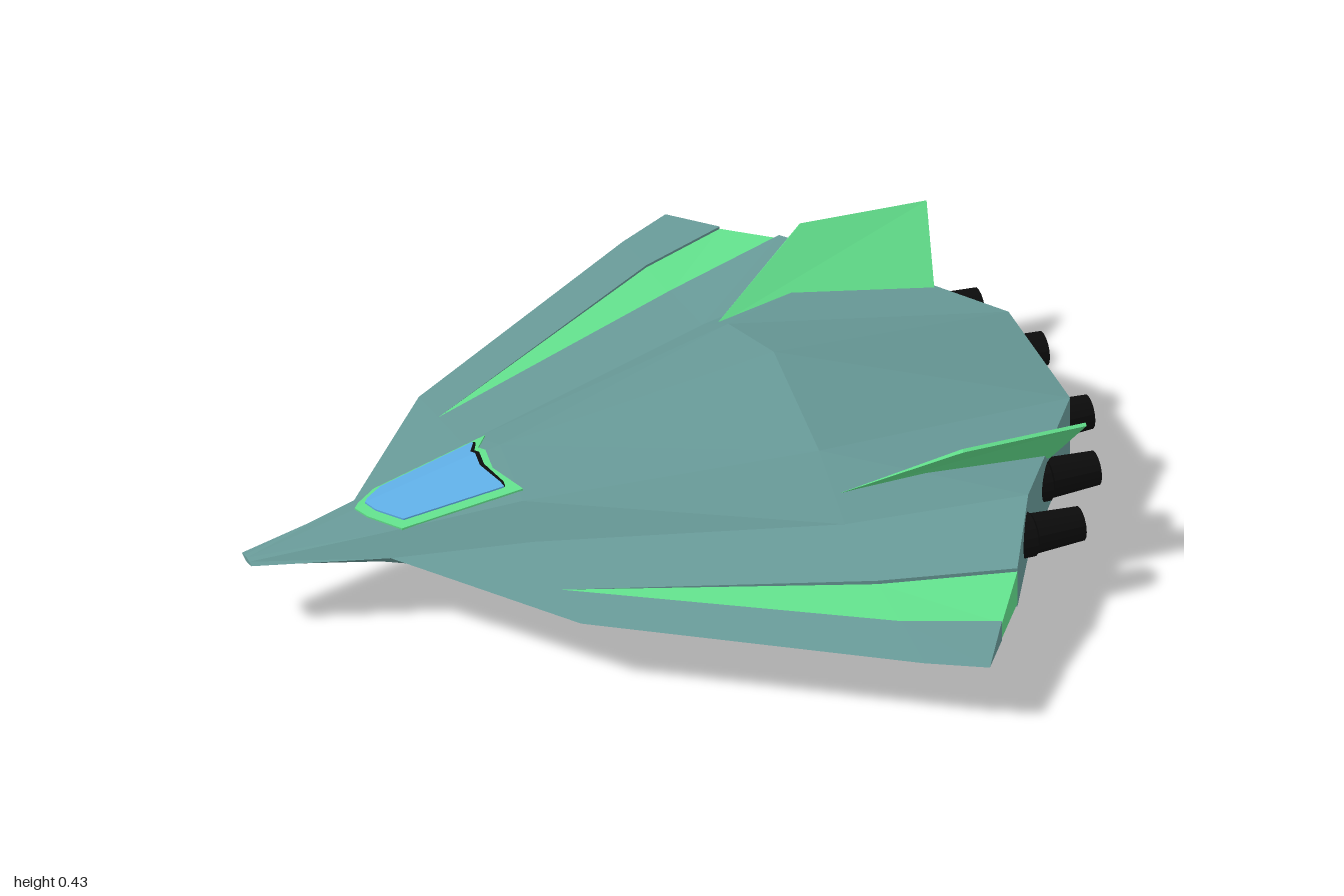
import * as THREE from 'three';

const hullTeal = new THREE.MeshStandardMaterial({ color: 0x689a98 });
const trimGreen = new THREE.MeshStandardMaterial({ color: 0x62e08c });
const glassBlue = new THREE.MeshStandardMaterial({ color: 0x60b0e8 });
const engineBlack = new THREE.MeshStandardMaterial({ color: 0x0c0c0c });

// Faceted mesh from triangles of the +z half, mirrored across z = 0
function mirroredMesh(name, tris, material) {
  const pos = [];
  for (const [a, b, c] of tris) {
    pos.push(...a, ...b, ...c);
    for (const p of [a, c, b]) pos.push(p[0], p[1], -p[2]);
  }
  const geo = new THREE.BufferGeometry();
  geo.setAttribute('position', new THREE.Float32BufferAttribute(pos, 3));
  geo.computeVertexNormals();
  const mesh = new THREE.Mesh(geo, material);
  mesh.name = name;
  return mesh;
}

const same = (a, b) => a.every((v, i) => Math.abs(v - b[i]) < 1e-6);

// Adds quad a-b-c-d as triangles, dropping collapsed ones
function quad(list, a, b, c, d) {
  for (const t of [[a, b, c], [a, c, d]]) {
    if (!same(t[0], t[1]) && !same(t[1], t[2]) && !same(t[0], t[2])) list.push(t);
  }
}

// Copies a line with a small height change, for the sunken wing strips
const shifted = (line, dy) => line.map(([x, y, z], i) => [x, i > 2 ? y + dy : y, z]);

// Lines from nose to tail, ordered from the centre outwards
const noseSide = [-0.99, 0.175, 0.03], wingRoot = [-0.69, 0.18, 0.12];
const leadingEdge = [noseSide, wingRoot, [-0.38, 0.162, 0.5], [0.28, 0.16, 0.93], [0.41, 0.16, 1.0]];

function topLines() {
  const inner = [noseSide, wingRoot, [-0.38, 0.18, 0.38], [0.28, 0.205, 0.64], [0.58, 0.225, 0.735]];
  const outer = [noseSide, wingRoot, [-0.38, 0.18, 0.38], [0.28, 0.185, 0.785], [0.49, 0.187, 0.87]];
  return [
    [[-0.99, 0.18, 0], [-0.69, 0.2575, 0], [-0.38, 0.337, 0], [0.28, 0.43, 0], [0.92, 0.27, 0]],
    [[-0.99, 0.178, 0.015], [-0.69, 0.222, 0.077], [-0.38, 0.272, 0.14], [0.28, 0.335, 0.28], [0.92, 0.27, 0.19]],
    [noseSide, wingRoot, [-0.38, 0.205, 0.21], [0.28, 0.235, 0.44], [0.69, 0.265, 0.52]],
    inner, shifted(inner, -0.009), shifted(outer, -0.006), outer, leadingEdge,
  ];
}

function bottomLines() {
  const inner = [noseSide, wingRoot, [-0.38, 0.15, 0.38], [0.28, 0.122, 0.64], [0.58, 0.122, 0.735]];
  const outer = [noseSide, wingRoot, [-0.38, 0.15, 0.38], [0.28, 0.138, 0.785], [0.49, 0.135, 0.87]];
  return [
    [[-0.99, 0.168, 0], [-0.69, 0.11, 0], [-0.38, 0.052, 0], [0.28, 0.003, 0], [0.92, 0.115, 0]],
    [[-0.99, 0.17, 0.015], [-0.69, 0.135, 0.06], [-0.38, 0.088, 0.11], [0.28, 0.046, 0.21], [0.92, 0.115, 0.19]],
    [noseSide, wingRoot, [-0.38, 0.12, 0.21], [0.28, 0.088, 0.42], [0.69, 0.1, 0.52]],
    inner, shifted(inner, 0.009), shifted(outer, 0.006), outer, leadingEdge,
  ];
}

function buildHull(group) {
  const top = topLines(), bottom = bottomLines();
  const hull = [], strips = [];
  for (let i = 0; i < 7; i++) {
    const list = i === 4 ? strips : hull;
    const [t, u, b, c] = [top[i], top[i + 1], bottom[i], bottom[i + 1]];
    for (let s = 0; s < 4; s++) {
      quad(list, t[s], u[s], u[s + 1], t[s + 1]);
      quad(list, b[s], b[s + 1], c[s + 1], c[s]);
    }
    quad(list, b[4], t[4], u[4], c[4]); // tail wall
    quad(list, b[0], c[0], u[0], t[0]); // nose wall
  }
  group.add(mirroredMesh('hull', hull, hullTeal), mirroredMesh('wingStrips', strips, trimGreen));
}

// Thin plate lying just above the sloping canopy facets
function canopyPlate(name, outline, lift, material) {
  const pts = outline.map(([x, z]) => new THREE.Vector2(x, z));
  const at = (p, up) => [p.x, 0.18 + 0.2583 * (p.x + 0.99) - 0.464 * p.y + up, p.y];
  const tris = THREE.ShapeUtils.triangulateShape(pts, []).map((f) => {
    const [a, b, c] = f.map((i) => pts[i]);
    const turn = (b.x - a.x) * (c.y - a.y) - (b.y - a.y) * (c.x - a.x);
    return (turn < 0 ? [a, b, c] : [a, c, b]).map((p) => at(p, lift));
  });
  // rim down to the hull
  for (let i = 0; i < pts.length - 1; i++) {
    const p = pts[i], q = pts[i + 1];
    quad(tris, at(p, -0.002), at(q, -0.002), at(q, lift), at(p, lift));
  }
  return mirroredMesh(name, tris, material);
}

function buildCanopy(group) {
  group.add(
    canopyPlate('canopyFrame', [[-0.73, 0], [-0.71, 0.03], [-0.65, 0.088], [-0.37, 0.118], [-0.415, 0.045], [-0.415, 0]], 0.004, trimGreen),
    canopyPlate('canopySeal', [[-0.6, 0], [-0.6, 0.04], [-0.405, 0.097], [-0.405, 0.085], [-0.43, 0.03], [-0.43, 0]], 0.006, engineBlack),
    canopyPlate('canopyGlass', [[-0.705, 0], [-0.69, 0.025], [-0.64, 0.072], [-0.408, 0.098], [-0.412, 0.085], [-0.44, 0.03], [-0.44, 0]], 0.008, glassBlue),
  );
}

// Pair of tail fins leaning outwards, wedge shaped at the root
function buildFins(group) {
  const front = [0.28, 0.27, 0.37];
  const rootIn = [0.8, 0.262, 0.338], rootOut = [0.8, 0.25, 0.375];
  const tipFrontIn = [0.54, 0.41, 0.498], tipFrontOut = [0.54, 0.405, 0.505];
  const tipBackIn = [0.84, 0.405, 0.49], tipBackOut = [0.84, 0.4, 0.497];
  const tris = [[front, rootOut, rootIn], [front, tipFrontIn, tipFrontOut]];
  quad(tris, front, rootIn, tipBackIn, tipFrontIn);
  quad(tris, front, tipFrontOut, tipBackOut, rootOut);
  quad(tris, tipFrontIn, tipBackIn, tipBackOut, tipFrontOut);
  quad(tris, rootIn, rootOut, tipBackOut, tipBackIn);
  // face every triangle away from the middle of the fin
  const mid = new THREE.Vector3(0.61, 0.33, 0.425);
  const outward = tris.map(([a, b, c]) => {
    const [p, q, r] = [a, b, c].map((v) => new THREE.Vector3(...v));
    const n = q.clone().sub(p).cross(r.clone().sub(p));
    const centre = p.clone().add(q).add(r).divideScalar(3);
    return n.dot(centre.sub(mid)) > 0 ? [a, b, c] : [a, c, b];
  });
  group.add(mirroredMesh('tailFins', outward, trimGreen));
}

// Six tapered engine nozzles; the outer four are hollow
function buildEngines(group) {
  for (const [end, z, hollow] of [[0.985, 0.14, false], [0.915, 0.36, true], [0.8, 0.56, true]]) {
    const hole = hollow ? 0.019 : 0;
    const profile = [[hole, 0], [0.052, 0], [0.052, 0.06], [0.047, 0.065], [0.04, 0.18], [hole, 0.18]];
    if (hollow) profile.push([hole, 0]);
    const geo = new THREE.LatheGeometry(profile.map(([r, y]) => new THREE.Vector2(r, y)), 16).toNonIndexed();
    geo.computeVertexNormals();
    geo.rotateZ(-Math.PI / 2);
    for (const side of [1, -1]) {
      const engine = new THREE.Mesh(geo, engineBlack);
      engine.name = side > 0 ? 'leftEngine' : 'rightEngine';
      engine.position.set(end - 0.18, 0.187, side * z);
      group.add(engine);
    }
  }
}

export function createModel() {
  const group = new THREE.Group();
  group.name = 'starfighter';
  buildHull(group);
  buildCanopy(group);
  buildFins(group);
  buildEngines(group);
  return group;
}
